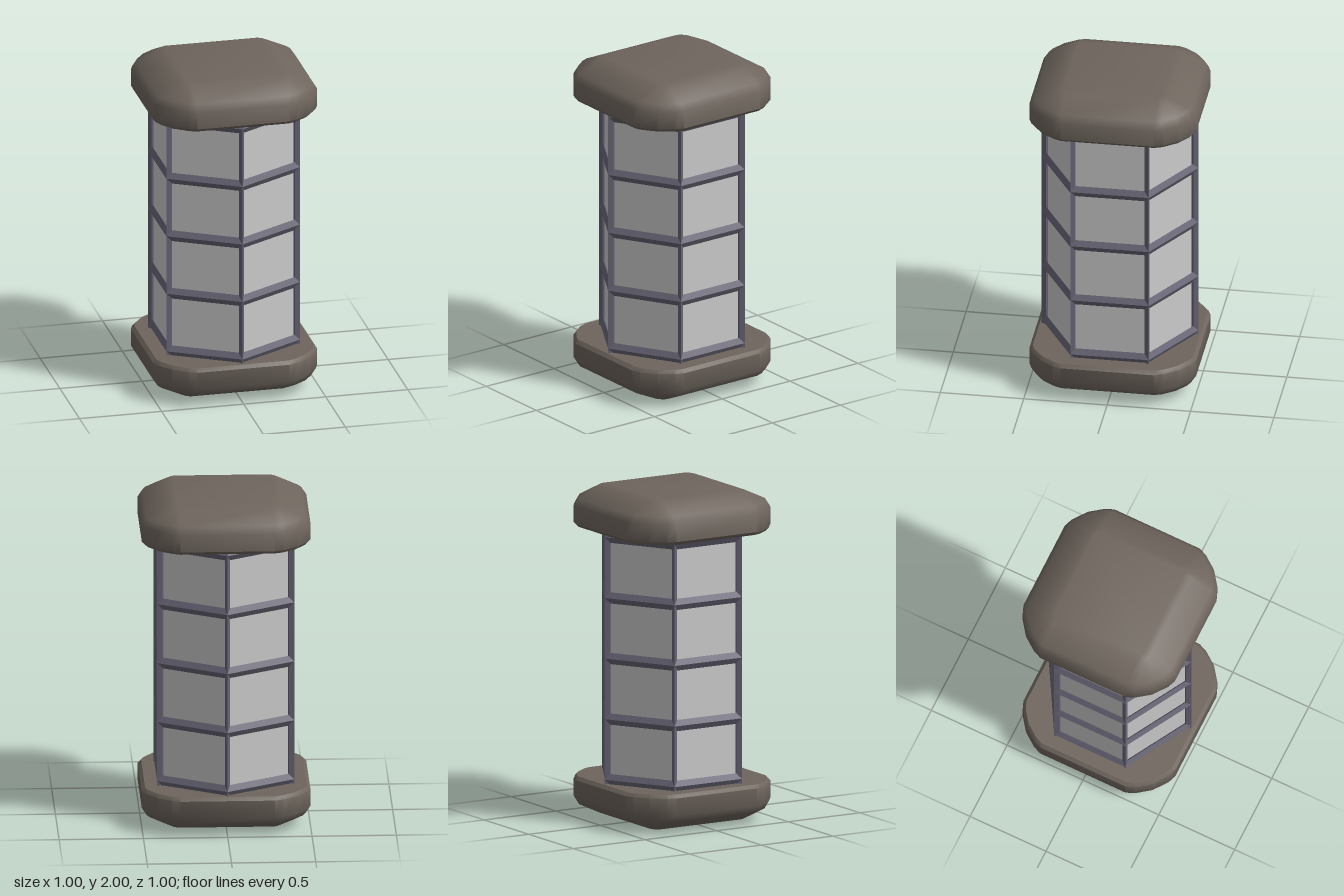
import * as THREE from 'three';
import { toCreasedNormals } from 'three/addons/utils/BufferGeometryUtils.js';

const RADIUS = 0.47;      // hexagon ridge radius
const DEPTH = 0.028;      // half depth of the bars

// Skin a stack of equal-length rings (counter-clockwise seen from +y, bottom to top) and close both ends.
function loft(rings) {
  const n = rings[0].length;
  const index = [];
  for (let r = 0; r < rings.length - 1; r++) {
    for (let i = 0; i < n; i++) {
      const a = r * n + i, b = r * n + (i + 1) % n;
      index.push(a, b, b + n, a, b + n, a + n);
    }
  }
  const last = (rings.length - 1) * n;
  for (let i = 1; i < n - 1; i++) {
    index.push(0, i + 1, i);
    index.push(last, last + i, last + i + 1);
  }
  const geometry = new THREE.BufferGeometry();
  geometry.setAttribute('position', new THREE.Float32BufferAttribute(rings.flat(2), 3));
  geometry.setIndex(index);
  return geometry;
}

// Square core whose sides are pushed out by e, with bevelled corners.
function capRing(e, y) {
  const core = 0.28;
  const arc = [[1, 0], [0.91, 0.23], [0.62, 0.62], [0.23, 0.91], [0, 1]];
  const ring = [];
  for (let q = 0; q < 4; q++) {
    const c = Math.round(Math.cos(q * Math.PI / 2)), s = Math.round(Math.sin(q * Math.PI / 2));
    for (const [u, v] of arc) {
      const x = core + u * e, w = core + v * e;
      ring.push([c * x - s * w, y, -(s * x + c * w)]);
    }
  }
  return ring;
}

export function createModel() {
  const model = new THREE.Group();
  const stone = new THREE.MeshStandardMaterial({ color: 0x6e655d });
  const metal = new THREE.MeshStandardMaterial({ color: 0x676474, flatShading: true });
  const glass = new THREE.MeshStandardMaterial({ color: 0xcccccc, flatShading: true });

  const add = (name, geometry, material, parent = model) => {
    const mesh = new THREE.Mesh(geometry, material);
    mesh.name = name;
    parent.add(mesh);
    return mesh;
  };

  // Rounded caps, the lower one turned over
  const profile = [[0.2, 1.755], [0.22, 1.775], [0.22, 1.88], [0.19, 1.925], [0.05, 1.99], [0.01, 2]];
  const capGeometry = toCreasedNormals(loft(profile.map(([e, y]) => capRing(e, y))), 0.75);
  add('topCap', capGeometry, stone);
  const base = add('baseCap', capGeometry, stone);
  base.rotation.x = Math.PI;
  base.position.y = 2;

  // Hexagonal glass
  add('glassPanes', new THREE.CylinderGeometry(0.437, 0.437, 1.52, 6, 1, true), glass).position.y = 1;

  // Frame: six ridged posts and five ridged hexagonal rails
  const frame = new THREE.Group();
  frame.name = 'frame';
  model.add(frame);

  const postGeometry = new THREE.CylinderGeometry(1, 1, 1.52, 4);
  postGeometry.scale(0.015, 1, DEPTH);
  for (let i = 0; i < 6; i++) {
    const angle = i * Math.PI / 3;
    const post = add('post', postGeometry, metal, frame);
    post.position.set(Math.sin(angle) * (RADIUS - DEPTH), 1, Math.cos(angle) * (RADIUS - DEPTH));
    post.rotation.y = angle;
  }

  const railProfile = [[0.448, -0.034], [RADIUS, 0], [0.448, 0.034], [0.42, 0], [0.448, -0.034]]
    .map(([r, y]) => new THREE.Vector2(r, y));
  const railGeometry = new THREE.LatheGeometry(railProfile, 6);
  for (let i = 0; i < 5; i++) {
    add('rail', railGeometry, metal, frame).position.y = 0.272 + i * 0.3665;
  }

  return model;
}
